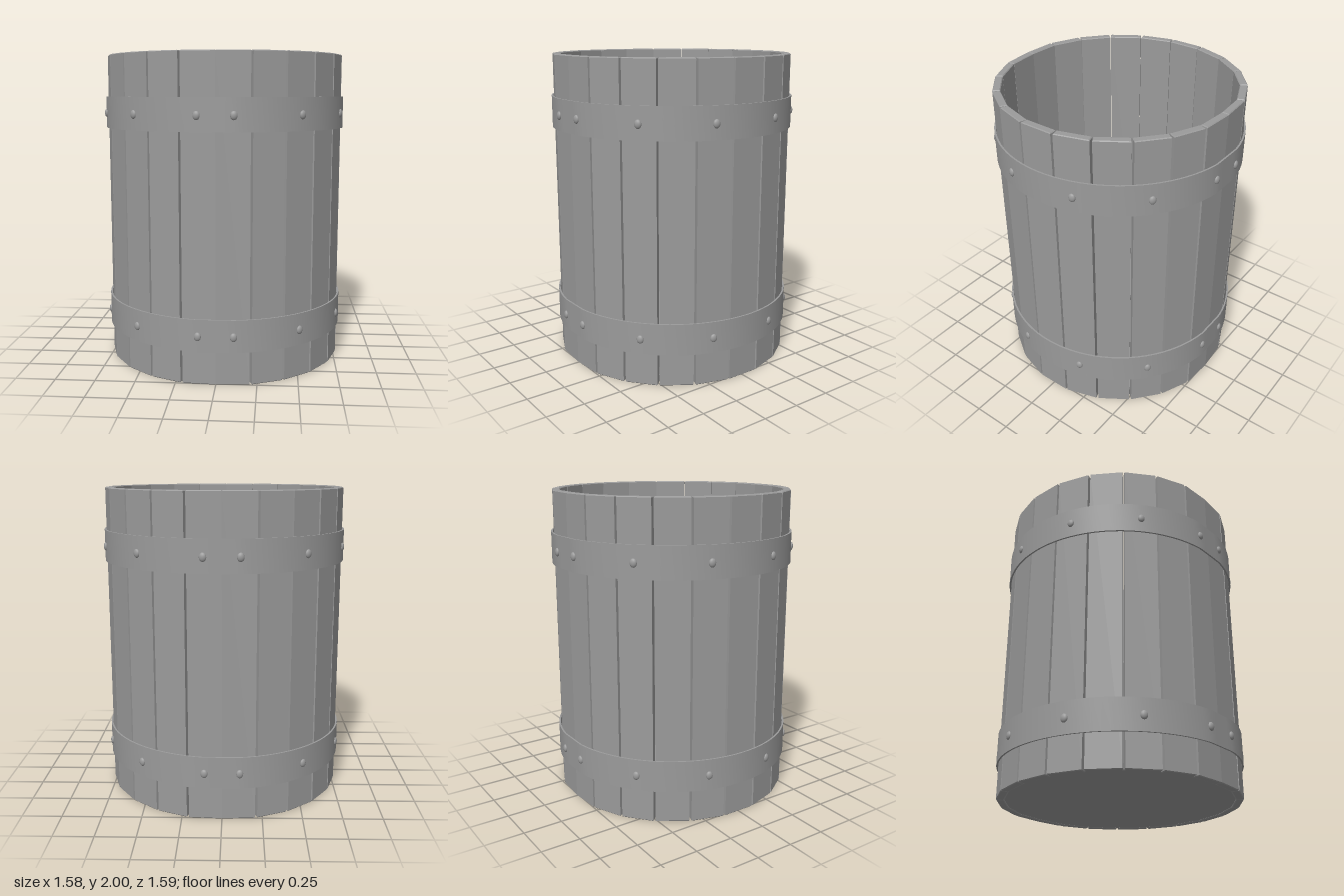
import * as THREE from 'three';
import { toCreasedNormals } from 'three/addons/utils/BufferGeometryUtils.js';

const STAVES = 22;
const STEP = (Math.PI * 2) / STAVES;
const R_OUT = 0.777, R_IN = 0.729;   // stave corner radii
const HOOP_IN = 0.779, HOOP_OUT = 0.79;
const BEVEL = 0.005;

// Angle from +z of the k-th joint; staves are slightly narrower at front and back
const angleAt = (k) => Math.atan2(0.966 * Math.sin(k * STEP), Math.cos(k * STEP));
const polar = (r, a) => new THREE.Vector2(r * Math.sin(a), r * Math.cos(a));

// The closed joints at front and back sit a little further in
const isClosed = (k) => k % (STAVES / 2) === 0;
const corner = (r, k, gap) =>
  isClosed(k) ? polar(r - 0.013, angleAt(k)) : polar(r, angleAt(k) + gap);

// Extrudes a plan outline upwards, with small chamfers on both ends
function upright(points, height) {
  const geometry = new THREE.ExtrudeGeometry(new THREE.Shape(points), {
    depth: height - 2 * BEVEL, bevelEnabled: true, bevelSegments: 1,
    bevelSize: BEVEL, bevelThickness: BEVEL, bevelOffset: -BEVEL,
  });
  return geometry.translate(0, 0, BEVEL).rotateX(-Math.PI / 2);
}

// Round band, flattened where it crosses the front and back
function bandGeometry() {
  const profile = [
    [HOOP_OUT, -0.101], [HOOP_OUT, 0.101], [HOOP_IN, 0.101], [HOOP_IN, -0.101], [HOOP_OUT, -0.101],
  ].map(([x, y]) => new THREE.Vector2(x, y));
  const geometry = new THREE.LatheGeometry(profile, 88);
  const p = geometry.attributes.position;
  for (let i = 0; i < p.count; i++) {
    const limit = Math.hypot(p.getX(i), p.getZ(i)) * Math.cos(0.139);
    p.setZ(i, THREE.MathUtils.clamp(p.getZ(i), -limit, limit));
  }
  return toCreasedNormals(geometry, 0.6);
}

export function createModel() {
  const model = new THREE.Group();
  model.name = 'barrel';
  const material = new THREE.MeshStandardMaterial({ color: 0x9b9b9b });

  const add = (parent, geometry, name) => {
    const mesh = new THREE.Mesh(geometry, material);
    mesh.name = name;
    parent.add(mesh);
    return mesh;
  };

  // Staves: flat planks with narrow V-shaped gaps
  const staves = new THREE.Group();
  staves.name = 'staves';
  model.add(staves);
  for (let k = 0; k < STAVES; k++) {
    add(staves, upright([
      corner(R_IN, k, 0.002), corner(R_OUT, k, 0.009),
      corner(R_OUT, k + 1, -0.009), corner(R_IN, k + 1, -0.002),
    ], 2), 'stave');
  }

  // Floor fitted inside the staves
  const rim = Array.from({ length: STAVES }, (_, k) => corner(R_IN, k, 0));
  add(model, upright(rim, 0.05), 'floor').position.y = 0.004;

  // Two hoops, each with rivets on alternate staves, mirrored in every quadrant
  const band = bandGeometry();
  const rivetGeometry = new THREE.SphereGeometry(1, 16, 10).scale(0.022, 0.027, 0.014);
  for (const [name, y] of [['lowerHoop', 0.312], ['upperHoop', 1.632]]) {
    const hoop = new THREE.Group();
    hoop.name = name;
    hoop.position.y = y;
    model.add(hoop);
    add(hoop, band, 'band');
    for (const k of [0.5, 2.5, 4.5]) {
      for (const a of [k, -k, STAVES / 2 - k, STAVES / 2 + k].map(angleAt)) {
        const rivet = add(hoop, rivetGeometry, 'rivet');
        rivet.position.set(HOOP_OUT * Math.sin(a), -0.004, HOOP_OUT * Math.cos(a));
        rivet.rotation.y = a;
      }
    }
  }
  return model;
}
